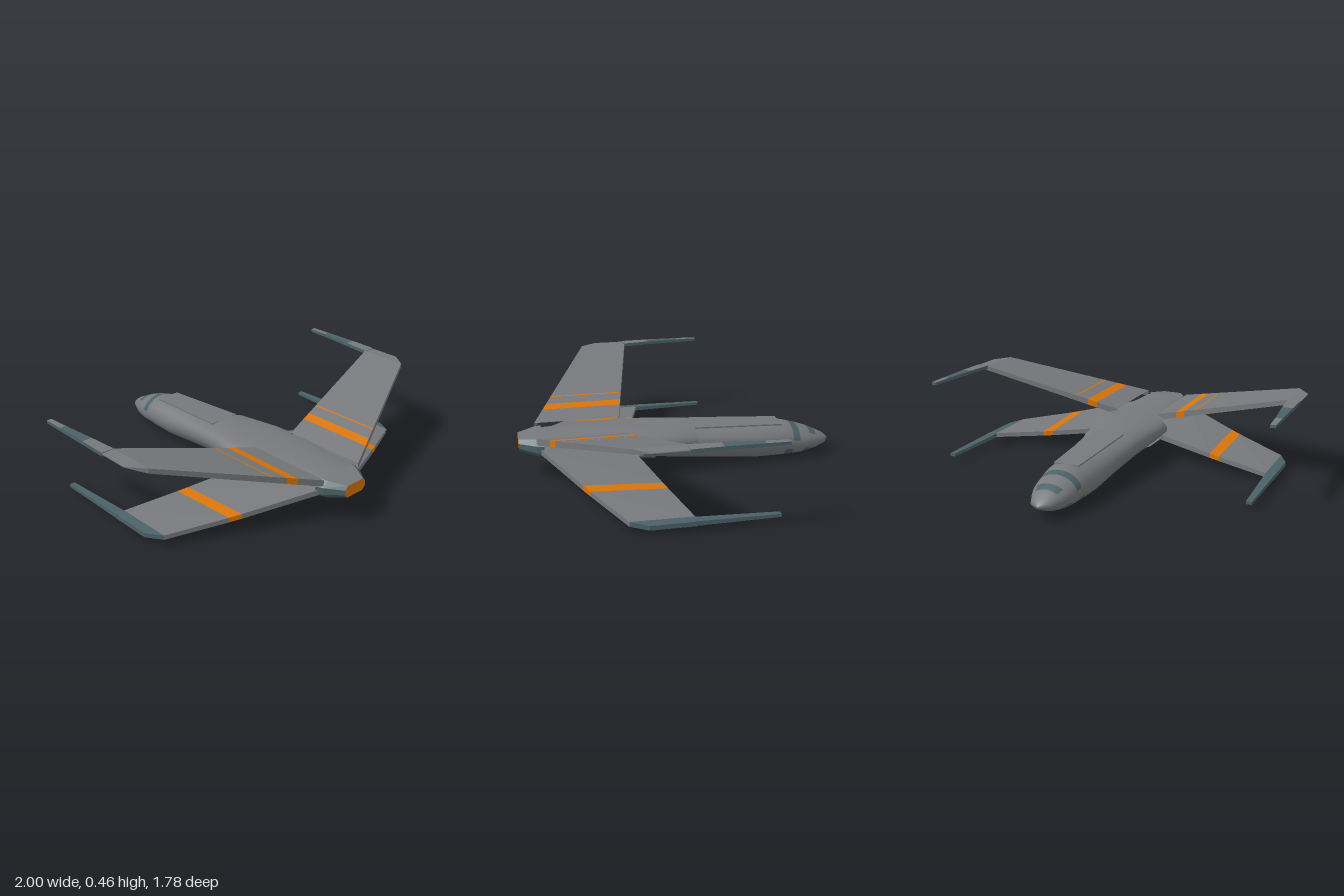
import * as THREE from 'three';

const paint = (name, color, side = THREE.FrontSide) => {
  const m = new THREE.MeshStandardMaterial({ color, side });
  m.name = name;
  return m;
};

// Skins a row of equal-length rings; pick(i, j) gives the material index of each face.
function loft(name, rings, mats, pick, { closed = true, flat = false, flip = false, capStart = -1, capEnd = -1 } = {}) {
  const pos = [], lists = mats.map(() => []), n = rings[0].length;
  const tri = (m, a, b, c) => lists[m].push(...(flip ? [a, c, b] : [a, b, c]));
  rings.forEach(r => r.forEach(p => pos.push(...p)));
  for (let i = 0; i < rings.length - 1; i++) {
    for (let j = 0; j < (closed ? n : n - 1); j++) {
      const k = (j + 1) % n, a = i * n + j, b = i * n + k, m = pick(i, j);
      tri(m, a, b, a + n);
      tri(m, b, b + n, a + n);
    }
  }
  const cap = (ring, m, back) => {
    const base = pos.length / 3;
    ring.forEach(p => pos.push(...p));
    for (let j = 1; j < n - 1; j++) back ? tri(m, base, base + j + 1, base + j) : tri(m, base, base + j, base + j + 1);
  };
  if (capStart >= 0) cap(rings[0], capStart, true);
  if (capEnd >= 0) cap(rings[rings.length - 1], capEnd, false);
  let g = new THREE.BufferGeometry();
  g.setAttribute('position', new THREE.Float32BufferAttribute(pos, 3));
  const index = [];
  lists.forEach((l, m) => {
    if (l.length) g.addGroup(index.length, l.length, m);
    for (const v of l) index.push(v);
  });
  g.setIndex(index);
  if (flat) g = g.toNonIndexed();
  g.computeVertexNormals();
  const mesh = new THREE.Mesh(g, mats);
  mesh.name = name;
  return mesh;
}

export function createModel() {
  const model = new THREE.Group();
  model.name = 'starfighter';
  const grey = paint('hull grey', 0x76787b, THREE.DoubleSide);
  const teal = paint('dark teal', 0x4a6167);
  const orange = paint('orange', 0xd8740a);
  const mats = [grey, teal, orange];
  const G = 0, T = 1, O = 2;

  // Fuselage stations: z, half width, bottom, top
  const stations = [
    [-0.89, 0.004, 0.075, 0.083], [-0.86, 0.055, 0.055, 0.11], [-0.8, 0.085, 0.03, 0.14],
    [-0.76, 0.102, 0.022, 0.158], [-0.72, 0.112, 0.013, 0.172], [-0.69, 0.116, 0.01, 0.182],
    [-0.65, 0.121, 0.008, 0.193], [-0.6, 0.127, 0.005, 0.205], [-0.45, 0.137, 0.003, 0.21],
    [-0.25, 0.15, 0.02, 0.218], [-0.09, 0.163, 0.032, 0.224], [-0.07, 0.165, 0.034, 0.238],
    [0.08, 0.187, 0.05, 0.241], [0.16, 0.2, 0.063, 0.242], [0.28, 0.205, 0.095, 0.242],
  ];
  const N = 32;
  const hull = stations.map(([z, w, yb, yt]) => {
    const k = THREE.MathUtils.clamp((z + 0.5) / 0.7, 0, 1);
    const ym = THREE.MathUtils.lerp((yb + yt) / 2, 0.165, k);
    return Array.from({ length: N }, (_, j) => {
      const a = (j / N) * Math.PI * 2, c = Math.cos(a), s = Math.sin(a);
      const e = s >= 0 ? 1 - 0.25 * k : 1 + 0.25 * k;
      const h = Math.pow(Math.abs(s), e) * (s >= 0 ? yt - ym : yb - ym);
      return [w * Math.sign(c) * Math.pow(Math.abs(c), e), ym + h, z];
    });
  });
  // Camouflage patches on the nose: station index -> angle range measured from straight up
  const patches = { 2: [0, 48], 5: [0, 75], 3: [115, 150], 6: [108, 165] };
  model.add(loft('fuselage', hull, mats, (i, j) => {
    const up = Math.abs((((j + 0.5) / N) * 360 + 270) % 360);
    const a = Math.min(up, 360 - up), p = patches[i];
    return p && a >= p[0] && a <= p[1] ? T : G;
  }, { capEnd: T }));

  // Flat panel along the back of the fuselage
  const panel = [[-0.59, 0.07, 0.206], [-0.08, 0.09, 0.23]].map(([z, w, y]) =>
    [[w, y, z], [-w, y, z], [-w, y - 0.008, z], [w, y - 0.008, z]]);
  model.add(loft('dorsalPanel', panel, mats, () => G, { flat: true, capStart: G, capEnd: G }));

  // Rear skins between the wings, above and below
  const skin = (name, rows, dir) => {
    const rings = rows.map(([z, w, edge, mid]) => Array.from({ length: 9 }, (_, j) => {
      const t = (j / 8) * 2 - 1;
      return [-dir * t * w, edge + (mid - edge) * (1 - t * t * Math.abs(t)), z];
    }));
    model.add(loft(name, rings, mats, () => G, { closed: false }));
  };
  skin('rearDeck', [[0.27, 0.19, 0.222, 0.243], [0.5, 0.15, 0.222, 0.242], [0.8, 0.135, 0.215, 0.234]], 1);
  skin('rearBelly', [[0.16, 0.2, 0.14, 0.063], [0.28, 0.2, 0.13, 0.088], [0.5, 0.17, 0.145, 0.108], [0.8, 0.14, 0.18, 0.138]], -1);

  // Tail block with the engine glow
  const tailRing = (z, w, yb, yt) => {
    const ym = (yb + yt) / 2, h = (yt - yb) / 2;
    return [[1, 0.4], [0.75, 1], [-0.75, 1], [-1, 0.4], [-1, -0.4], [-0.75, -1], [0.75, -1], [1, -0.4]]
      .map(([x, y]) => [x * w, ym + y * h, z]);
  };
  model.add(loft('tail', [tailRing(0.76, 0.155, 0.137, 0.236), tailRing(0.8, 0.14, 0.14, 0.234), tailRing(0.89, 0.075, 0.158, 0.224)],
    mats, (i, j) => (j === 1 ? G : T), { flat: true, capEnd: O }));

  // Wings: span stations are x, leading z, trailing z
  const lerpAt = (x, x0, a, x1, b) => a + ((b - a) * (x - x0)) / (x1 - x0);
  const upper = {
    stations: [0.13, 0.255, 0.31, 0.377, 0.386, 0.93].map(x => [x, lerpAt(x, 0.17, 0.31, 0.93, 0.155), lerpAt(x, 0.14, 0.79, 0.93, 0.428)]),
    top: x => (x > 0.96 ? 0.46 : lerpAt(x, 0.15, 0.25, 0.95, 0.468)),
    bottom: x => lerpAt(x, 0.15, 0.214, 0.95, 0.442),
    pick: (i, j) => (i === 1 && j !== 2 ? O : i === 3 && j === 0 ? O : j === 2 ? T : G),
    barrel: [[-0.32, 0.97, 0.998, 0.448, 0.464], [-0.2, 0.963, 0.999, 0.447, 0.465], [0, 0.945, 1, 0.447, 0.466], [0.16, 0.93, 1, 0.445, 0.464]],
    barrelPick: (i, j) => (j === 0 && i !== 1 ? G : T),
  };
  upper.stations.push([1, 0.152, 0.335]);
  const rootY = z => 0.14 + (0.05 * (z - 0.28)) / 0.5;
  const lower = {
    stations: [0.14, 0.5, 0.56, 0.85].map(x => [x, lerpAt(x, 0.21, 0.26, 0.85, 0.1), lerpAt(x, 0.14, 0.78, 0.85, 0.42)]),
    top: (x, z) => lerpAt(x, 0.14, rootY(z), 0.9, 0.054),
    bottom: (x, z) => lerpAt(x, 0.14, rootY(z) - 0.03, 0.9, 0.03),
    pick: (i, j) => (i === 1 ? O : i === 3 && j !== 2 ? T : G),
    barrel: [[-0.32, 0.868, 0.898, 0.036, 0.052], [0.11, 0.848, 0.9, 0.032, 0.056]],
    barrelPick: (i, j) => (j === 2 ? G : T),
  };
  lower.stations.push([0.9, 0.1, 0.33]);

  for (const s of [1, -1]) {
    const side = s > 0 ? 'left' : 'right', flip = s < 0;
    for (const [label, w] of [['Upper', upper], ['Lower', lower]]) {
      const wing = w.stations.map(([x, z0, z1]) => [
        [s * x, w.top(x, z0), z0], [s * x, w.top(x, z1), z1],
        [s * x, w.bottom(x, z1), z1], [s * x, w.bottom(x, z0), z0],
      ]);
      model.add(loft(`${side}${label}Wing`, wing, mats, w.pick, { flat: true, flip, capEnd: label === 'Upper' ? G : T }));
      // Long wingtip barrel pointing forward
      const barrel = w.barrel.map(([z, x0, x1, yb, yt]) =>
        [[s * x1, yt, z], [s * x0, yt, z], [s * x0, yb, z], [s * x1, yb, z]]);
      model.add(loft(`${side}${label}Barrel`, barrel, mats, w.barrelPick, { flat: true, flip, capStart: T, capEnd: T }));
    }
  }
  return model;
}
